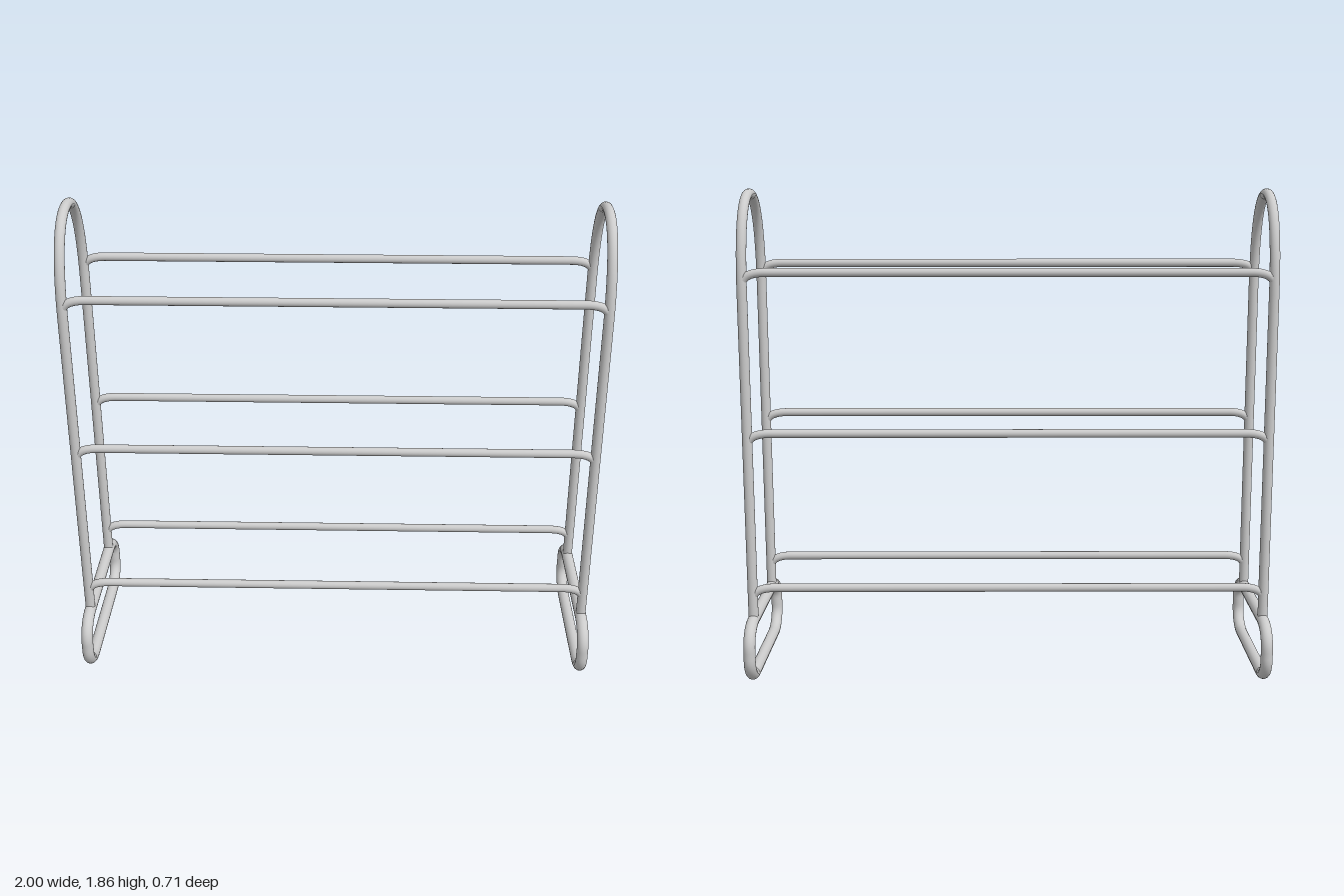
import * as THREE from 'three';

const V = (x, y, z) => new THREE.Vector3(x, y, z);
const SIDE_X = 0.977, POST_Z = 0.219;
const material = new THREE.MeshStandardMaterial({ color: 0xcccccc, side: THREE.DoubleSide });

function tube(name, path, segments, radius, closed = false) {
  const mesh = new THREE.Mesh(new THREE.TubeGeometry(path, segments, radius, 20, closed), material);
  mesh.name = name;
  return mesh;
}

function pathOf(...curves) {
  const path = new THREE.CurvePath();
  curves.forEach((c) => path.add(c));
  return path;
}

// Rounded rectangular loop that stands on the floor
function foot(x) {
  const w = 0.333, y0 = 0.022, y1 = 0.228, ry = 0.085, rz = 0.11;
  const line = (a, b) => new THREE.LineCurve3(a, b);
  const bend = (a, corner, b) => new THREE.CubicBezierCurve3(
    a, a.clone().lerp(corner, 0.58), b.clone().lerp(corner, 0.58), b);
  const p = (y, z) => V(x, y, z);
  const path = pathOf(
    line(p(y0, -w + rz), p(y0, w - rz)),
    bend(p(y0, w - rz), p(y0, w), p(y0 + ry, w)),
    line(p(y0 + ry, w), p(y1 - ry, w)),
    bend(p(y1 - ry, w), p(y1, w), p(y1, w - rz)),
    line(p(y1, w - rz), p(y1, -w + rz)),
    bend(p(y1, -w + rz), p(y1, -w), p(y1 - ry, -w)),
    line(p(y1 - ry, -w), p(y0 + ry, -w)),
    bend(p(y0 + ry, -w), p(y0, -w), p(y0, -w + rz)));
  return tube('foot', path, 120, 0.0225, true);
}

// Two posts joined by an arch
function hoop(x) {
  const base = 0.228, spring = 1.48, top = 1.836;
  const path = pathOf(
    new THREE.LineCurve3(V(x, base, POST_Z), V(x, spring, POST_Z)),
    new THREE.CubicBezierCurve3(V(x, spring, POST_Z), V(x, 1.72, POST_Z), V(x, top, 0.13), V(x, top, 0)),
    new THREE.CubicBezierCurve3(V(x, top, 0), V(x, top, -0.13), V(x, 1.72, -POST_Z), V(x, spring, -POST_Z)),
    new THREE.LineCurve3(V(x, spring, -POST_Z), V(x, base, -POST_Z)));
  return tube('sideHoop', path, 160, 0.019);
}

// Straight rail whose ends bend down into the posts
function rail(y, z) {
  const straight = 0.89, drop = 0.04;
  const path = pathOf(
    new THREE.QuadraticBezierCurve3(V(-SIDE_X, y - drop, z), V(-0.968, y, z), V(-straight, y, z)),
    new THREE.LineCurve3(V(-straight, y, z), V(straight, y, z)),
    new THREE.QuadraticBezierCurve3(V(straight, y, z), V(0.968, y, z), V(SIDE_X, y - drop, z)));
  return tube('rail', path, 200, 0.016);
}

export function createModel() {
  const model = new THREE.Group();
  model.name = 'rack';

  for (const [side, name] of [[1, 'leftEnd'], [-1, 'rightEnd']]) {
    const end = new THREE.Group();
    end.name = name;
    end.add(foot(side * SIDE_X), hoop(side * SIDE_X));
    model.add(end);
  }

  // Three tiers, each with a front and a back rail
  for (const y of [0.356, 0.957, 1.558]) {
    for (const z of [POST_Z, -POST_Z]) model.add(rail(y, z));
  }
  return model;
}
